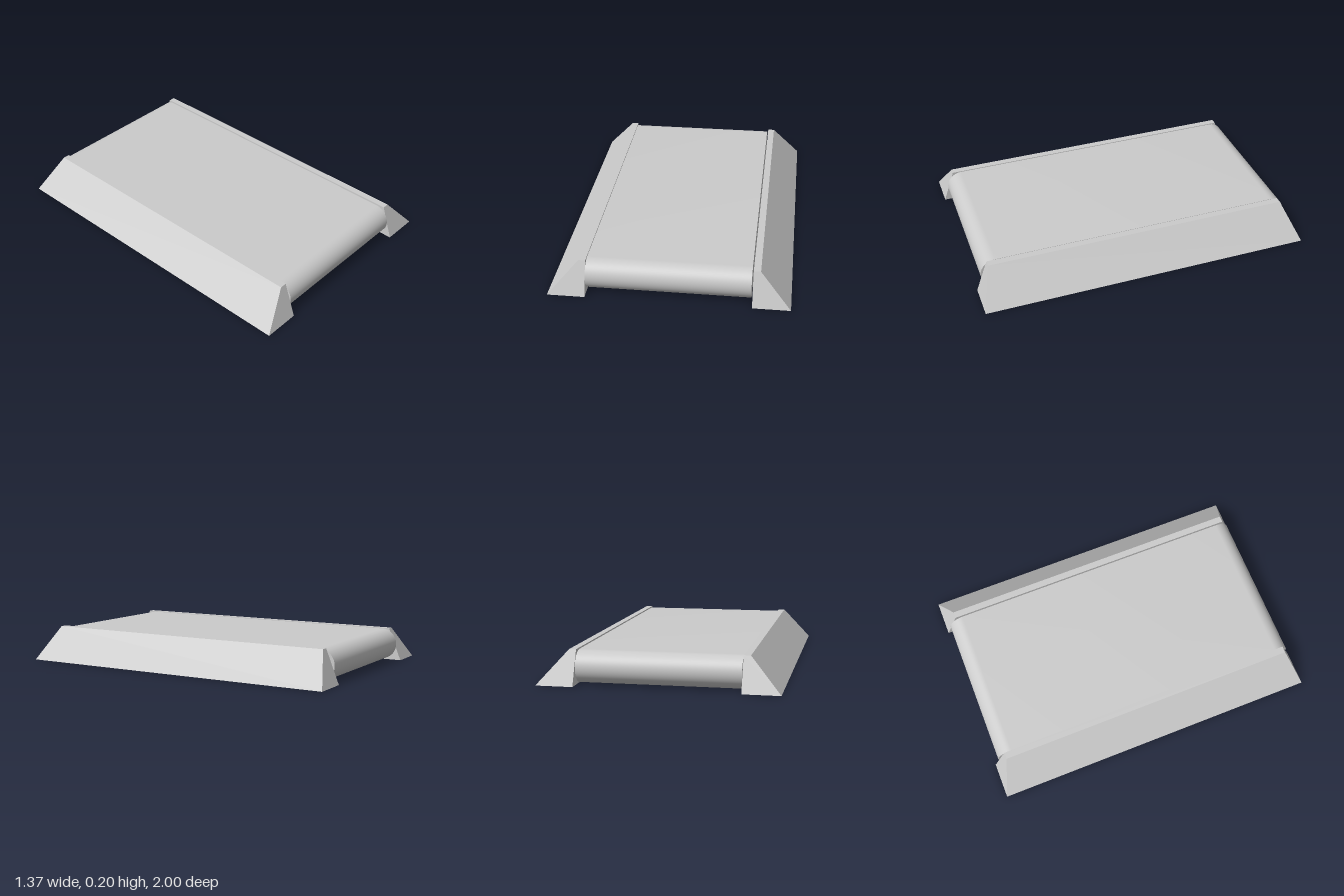
import * as THREE from 'three';
import { toCreasedNormals } from 'three/addons/utils/BufferGeometryUtils.js';
import { ConvexGeometry } from 'three/addons/geometries/ConvexGeometry.js';

const material = new THREE.MeshStandardMaterial({ color: 0xcccccc });

// Belt: a stadium outline swept across the width
function createBelt() {
  const radius = 0.094, reach = 0.97 - radius, left = -0.469, right = 0.463;
  const outline = new THREE.Shape();
  outline.absarc(reach, 0, radius, -Math.PI / 2, Math.PI / 2, false);
  outline.absarc(-reach, 0, radius, Math.PI / 2, Math.PI * 1.5, false);
  const geometry = new THREE.ExtrudeGeometry(outline, {
    depth: right - left, bevelEnabled: false, curveSegments: 16,
  });
  geometry.rotateY(Math.PI / 2);
  geometry.translate(left, 0.1, 0);
  const belt = new THREE.Mesh(toCreasedNormals(geometry, 0.6), material);
  belt.name = 'belt';
  return belt;
}

// Side rail: upright inner wall, sloping outer side and ends
function createRail(side) {
  const inner = 0.47, corners = [];
  for (const [y, outer, back, front] of [[0, 0.685, -1, 1], [0.198, 0.51, -0.92, 0.93]]) {
    for (const x of [inner, outer]) {
      for (const z of [back, front]) corners.push(new THREE.Vector3(side * x, y, z));
    }
  }
  const rail = new THREE.Mesh(new ConvexGeometry(corners), material);
  rail.name = side > 0 ? 'leftRail' : 'rightRail';
  return rail;
}

export function createModel() {
  const model = new THREE.Group();
  model.name = 'conveyor';
  model.add(createBelt(), createRail(1), createRail(-1));
  return model;
}
